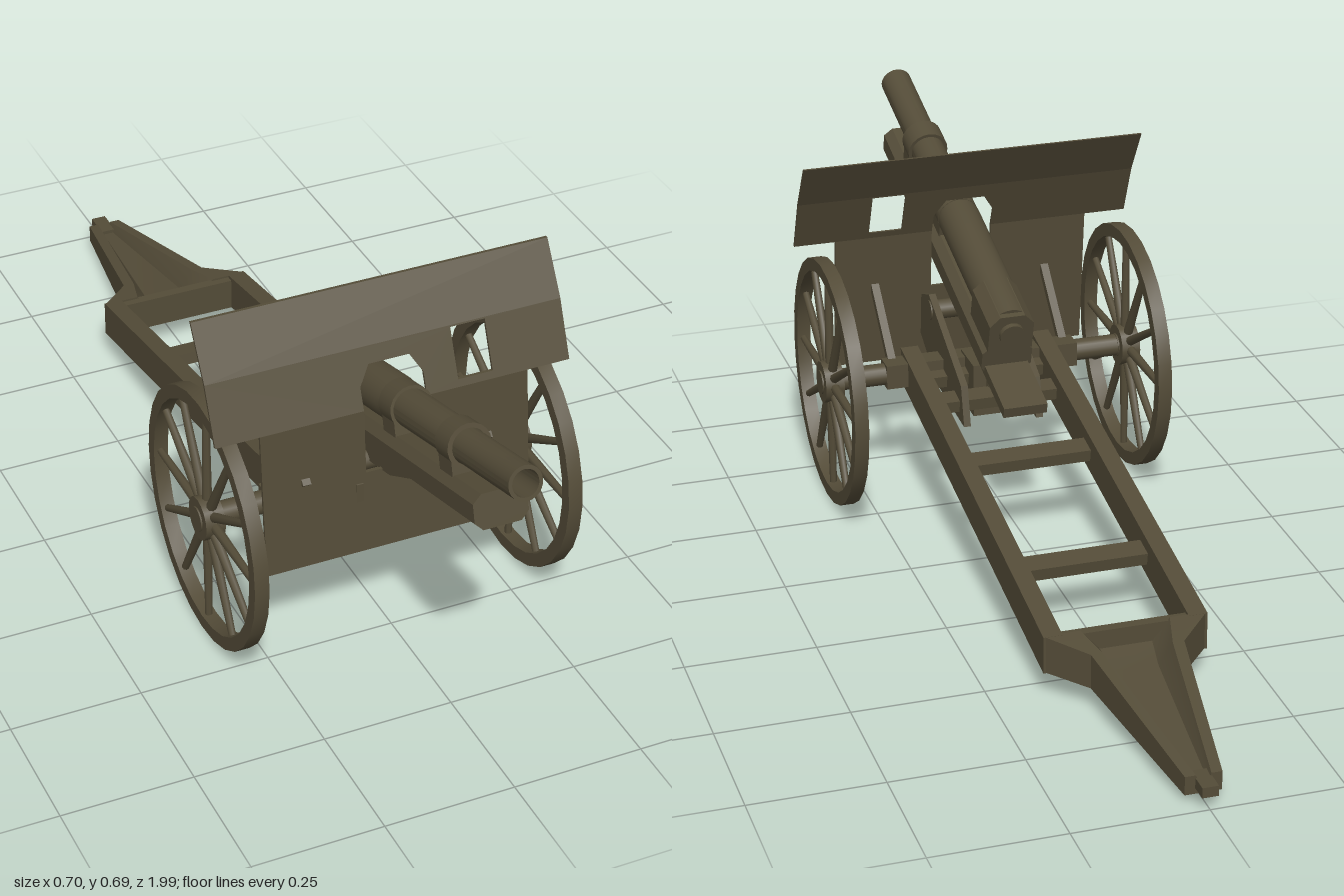
import * as THREE from 'three';
import { toCreasedNormals } from 'three/addons/utils/BufferGeometryUtils.js';

const olive = new THREE.MeshStandardMaterial({ color: 0x544c38 });
olive.name = 'olive drab';

function add(parent, name, geometry, x = 0, y = 0, z = 0) {
  const mesh = new THREE.Mesh(geometry, olive);
  mesh.name = name;
  mesh.position.set(x, y, z);
  parent.add(mesh);
  return mesh;
}

const box = (w, h, d) => new THREE.BoxGeometry(w, h, d);

// Turned part from [radius, height] points, sharp where the profile bends
function turned(points, sides) {
  const g = new THREE.LatheGeometry(points.map(p => new THREE.Vector2(...p)), sides);
  return toCreasedNormals(g, 0.5);
}

// Solid skinned over cross-sections { z, pts }, front to back, counter-clockwise seen from +z
function loft(sections) {
  const n = sections[0].pts.length, pos = [], index = [];
  for (const s of sections) for (const [x, y] of s.pts) pos.push(x, y, s.z);
  for (let i = 0; i < sections.length - 1; i++) {
    for (let j = 0; j < n; j++) {
      const a = i * n + j, b = i * n + (j + 1) % n;
      index.push(a, a + n, b, b, a + n, b + n);
    }
  }
  const last = (sections.length - 1) * n;
  const caps = THREE.ShapeUtils.triangulateShape(sections[0].pts.map(p => new THREE.Vector2(...p)), []);
  for (const [a, b, c] of caps) index.push(a, b, c, last + c, last + b, last + a);
  const g = new THREE.BufferGeometry();
  g.setAttribute('position', new THREE.Float32BufferAttribute(pos, 3));
  g.setIndex(index);
  return toCreasedNormals(g, 0.3);
}

const rect = (x0, x1, y0, y1) => [[x0, y0], [x1, y0], [x1, y1], [x0, y1]];
const polygon = pts => new THREE.Shape(pts.map(p => new THREE.Vector2(...p)));

// Spoked wheel, axle along x
function wheel(x) {
  const g = new THREE.Group();
  g.name = x > 0 ? 'leftWheel' : 'rightWheel';
  g.position.set(x, 0.25, 0.367);
  const rim = turned([[0.224, -0.014], [0.25, -0.014], [0.25, 0.014], [0.224, 0.014], [0.224, -0.014]], 28);
  add(g, 'rim', rim.rotateZ(Math.PI / 2));
  add(g, 'hub', new THREE.CylinderGeometry(0.042, 0.042, 0.038, 16).rotateZ(Math.PI / 2));
  add(g, 'hubCap', new THREE.CylinderGeometry(0.024, 0.024, 0.044, 12).rotateZ(Math.PI / 2));
  for (let i = 0; i < 12; i++) {
    const spoke = new THREE.CylinderGeometry(0.007, 0.01, 0.2, 8).translate(0, 0.13, 0);
    add(g, 'spoke', spoke).rotation.x = i * Math.PI / 6;
  }
  return g;
}

// Thin shield panel drawn in x-y and leaned so it runs from z0 at y0 to z1 at y1
function shieldPanel(parent, name, shape, y0, z0, y1, z1) {
  const g = new THREE.ExtrudeGeometry(shape, { depth: 0.006, bevelEnabled: false });
  const p = g.attributes.position;
  for (let i = 0; i < p.count; i++) {
    p.setZ(i, p.getZ(i) + z0 + (z1 - z0) * (p.getY(i) - y0) / (y1 - y0));
  }
  g.computeVertexNormals();
  add(parent, name, g);
}

function shield() {
  const g = new THREE.Group();
  g.name = 'shield';
  shieldPanel(g, 'shieldTop', polygon(rect(-0.348, 0.348, 0.6, 0.695)), 0.6, 0.447, 0.695, 0.388);
  // Middle panel with sight window and the arch over the barrel
  const middle = polygon([[-0.348, 0.495], [-0.062, 0.495], [-0.062, 0.535], [-0.04, 0.57], [0.04, 0.57],
    [0.062, 0.535], [0.062, 0.495], [0.348, 0.495], [0.348, 0.6], [-0.348, 0.6]]);
  middle.holes.push(new THREE.Path([[0.126, 0.508], [0.126, 0.597], [0.195, 0.597], [0.195, 0.508]]
    .map(p => new THREE.Vector2(...p))));
  shieldPanel(g, 'shieldMiddle', middle, 0.495, 0.492, 0.6, 0.447);
  const lower = polygon([[-0.263, 0.21], [0.263, 0.21], [0.263, 0.495], [0.062, 0.495], [0.062, 0.37],
    [-0.062, 0.37], [-0.062, 0.495], [-0.263, 0.495]]);
  shieldPanel(g, 'shieldLower', lower, 0.21, 0.522, 0.495, 0.492);
  return g;
}

// Barrel, breech and cradle; local +z runs along the bore, origin at the muzzle
function gun() {
  const g = new THREE.Group();
  g.name = 'gun';
  g.position.set(0, 0.643, 0.985);
  g.rotation.x = -0.271;
  const barrel = turned([[0, -0.86], [0.043, -0.86], [0.043, -0.5], [0.036, -0.46], [0.035, -0.22],
    [0.032, -0.2], [0.032, 0], [0.025, 0], [0.025, -0.3], [0, -0.3]], 24);
  add(g, 'barrel', barrel.rotateX(Math.PI / 2));
  for (const z of [-0.233, -0.463]) {
    add(g, 'barrelClamp', new THREE.CylinderGeometry(0.042, 0.042, 0.05, 20).rotateX(Math.PI / 2), 0, 0, z);
    add(g, 'clampFoot', box(0.074, 0.05, 0.05), 0, -0.03, z);
  }
  // Breech ring: chamfered block
  const breech = [[-0.045, -0.045], [0.045, -0.045], [0.045, 0.015], [0.025, 0.036], [-0.025, 0.036], [-0.045, 0.015]];
  add(g, 'breech', loft([{ z: -0.75, pts: breech }, { z: -0.872, pts: breech }]));
  add(g, 'breechPlug', new THREE.CylinderGeometry(0.025, 0.025, 0.012, 16).rotateX(Math.PI / 2), 0, -0.005, -0.876);
  // Recoil cradle: eight-sided trough
  const cradle = [[-0.036, -0.11], [0.036, -0.11], [0.051, -0.095], [0.051, -0.06], [0.034, -0.045],
    [-0.034, -0.045], [-0.051, -0.06], [-0.051, -0.095]];
  add(g, 'cradle', loft([{ z: -0.105, pts: cradle }, { z: -0.86, pts: cradle }]));
  add(g, 'cradleTail', box(0.088, 0.022, 0.16), 0, -0.101, -0.915);
  add(g, 'cradleKeel', loft([
    { z: -0.4, pts: rect(-0.03, 0.03, -0.115, -0.1) },
    { z: -0.5, pts: rect(-0.03, 0.03, -0.14, -0.1) },
    { z: -0.75, pts: rect(-0.03, 0.03, -0.14, -0.1) },
  ]));
  return g;
}

function trail() {
  const g = new THREE.Group();
  g.name = 'trail';
  const bottom = z => 0.146 + 0.172 * z;
  for (const s of [-1, 1]) {
    const x0 = Math.min(s * 0.12, s * 0.156), x1 = Math.max(s * 0.12, s * 0.156);
    add(g, 'trailRail', loft([0.4, -0.555].map(z => ({ z, pts: rect(x0, x1, bottom(z), bottom(z) + 0.073) }))));
  }
  // Cross members between the rails
  for (const [z, d] of [[0.335, 0.03], [0.25, 0.04], [0.035, 0.045], [-0.305, 0.045]]) {
    add(g, 'crossMember', box(0.25, 0.025, d), 0, bottom(z) + 0.036, z).rotation.x = -0.17;
  }
  add(g, 'bulkhead', box(0.25, 0.066, 0.02), 0, 0.087, -0.545);
  // Hollow tail tapering to the towing end
  const trough = (z, w, b, t, wi, f) => ({ z, pts: [[-w, b], [w, b], [w, t], [wi, t],
    [wi * 0.6, f], [-wi * 0.6, f], [-wi, t], [-w, t]] });
  add(g, 'trailTail', loft([
    trough(-0.55, 0.156, 0.052, 0.124, 0.085, 0.085),
    trough(-0.62, 0.088, 0.044, 0.112, 0.066, 0.07),
    trough(-0.965, 0.034, 0.014, 0.05, 0.014, 0.035),
  ]));
  add(g, 'towingEnd', box(0.03, 0.02, 0.06), 0, 0.035, -0.97);
  return g;
}

function carriage() {
  const g = new THREE.Group();
  g.name = 'carriage';
  add(g, 'axle', new THREE.CylinderGeometry(0.022, 0.022, 0.62, 16).rotateZ(Math.PI / 2), 0, 0.25, 0.367);
  add(g, 'axleBeam', box(0.4, 0.05, 0.045), 0, 0.25, 0.367);
  // Saddle side plates holding the cradle
  const side = polygon([[0.2, 0.19], [0.4, 0.2], [0.52, 0.265], [0.515, 0.35], [0.45, 0.375], [0.22, 0.27]]);
  for (const x of [-0.075, 0.075]) {
    const plate = new THREE.ExtrudeGeometry(side, { depth: 0.014, bevelEnabled: false });
    add(g, 'saddlePlate', plate.rotateY(-Math.PI / 2), x + 0.007, 0, 0);
  }
  add(g, 'trunnion', new THREE.CylinderGeometry(0.02, 0.02, 0.17, 12).rotateZ(Math.PI / 2), 0, 0.345, 0.44);
  add(g, 'pivotBlock', box(0.074, 0.11, 0.09), 0, 0.225, 0.33);
  add(g, 'elevatingScrew', new THREE.CylinderGeometry(0.014, 0.014, 0.12, 10), 0, 0.28, 0.27);
  // Struts from the beam to the shield
  for (const x of [-0.18, 0.18]) {
    add(g, 'shieldStrut', box(0.016, 0.016, 0.21), x, 0.315, 0.435).rotation.x = -0.75;
  }
  return g;
}

export function createModel() {
  const model = new THREE.Group();
  model.name = 'fieldGun';
  model.add(gun(), shield(), carriage(), trail(), wheel(0.311), wheel(-0.311));
  return model;
}
